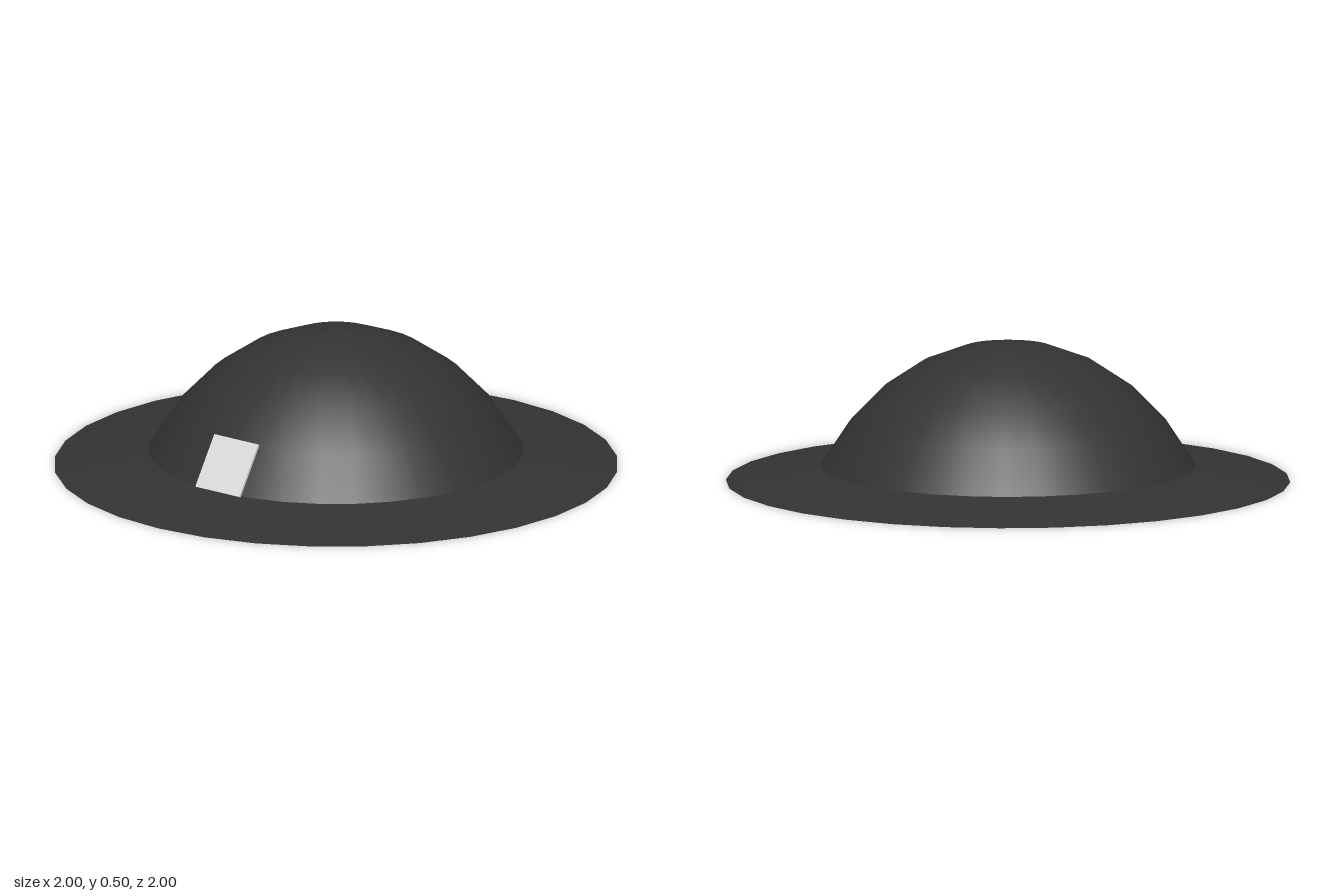
import * as THREE from 'three';

const SIDES = 32;
const RADIUS = 0.8; // horizontal radius of the dome's ellipsoid
const SINK = 0.5; // depth of its centre below the ground

// Point on the dome profile, counted in rings down from the crown
const ringPoint = (i) => {
  const a = (i * Math.PI) / 16;
  return new THREE.Vector2(RADIUS * Math.sin(a), Math.cos(a) - SINK);
};

export function createModel() {
  const black = new THREE.MeshStandardMaterial({ color: 0x333333 });
  black.name = 'charcoal';
  const grey = new THREE.MeshStandardMaterial({ color: 0xdddddd });
  grey.name = 'lightGrey';

  const model = new THREE.Group();
  model.name = 'domedHat';
  const add = (name, geometry, material) => {
    const mesh = new THREE.Mesh(geometry, material);
    mesh.name = name;
    model.add(mesh);
    return mesh;
  };

  // Smooth dome, listed from base to crown so its faces point outward
  const profile = [5, 4, 3, 2, 1, 0].map(ringPoint);
  const base = profile[0];
  add('crown', new THREE.LatheGeometry(profile, SIDES), black);

  // Shallow sloping brim with a closed flat underside
  add('brim', new THREE.CylinderGeometry(base.x, 1, base.y, SIDES, 1), black).position.y = base.y / 2;

  // Thin badge leaning against the front of the dome
  const low = new THREE.Vector2(0.667, 0.056);
  const high = new THREE.Vector2(0.56, 0.225);
  const run = high.clone().sub(low);
  const thickness = 0.009;
  const badge = add('badge', new THREE.BoxGeometry(0.2, run.length(), thickness), grey);
  badge.rotation.x = Math.atan2(run.x, run.y);
  badge.position.set(0, (low.y + high.y) / 2, (low.x + high.x) / 2);
  badge.translateZ(-thickness / 2 + 0.002);

  return model;
}
